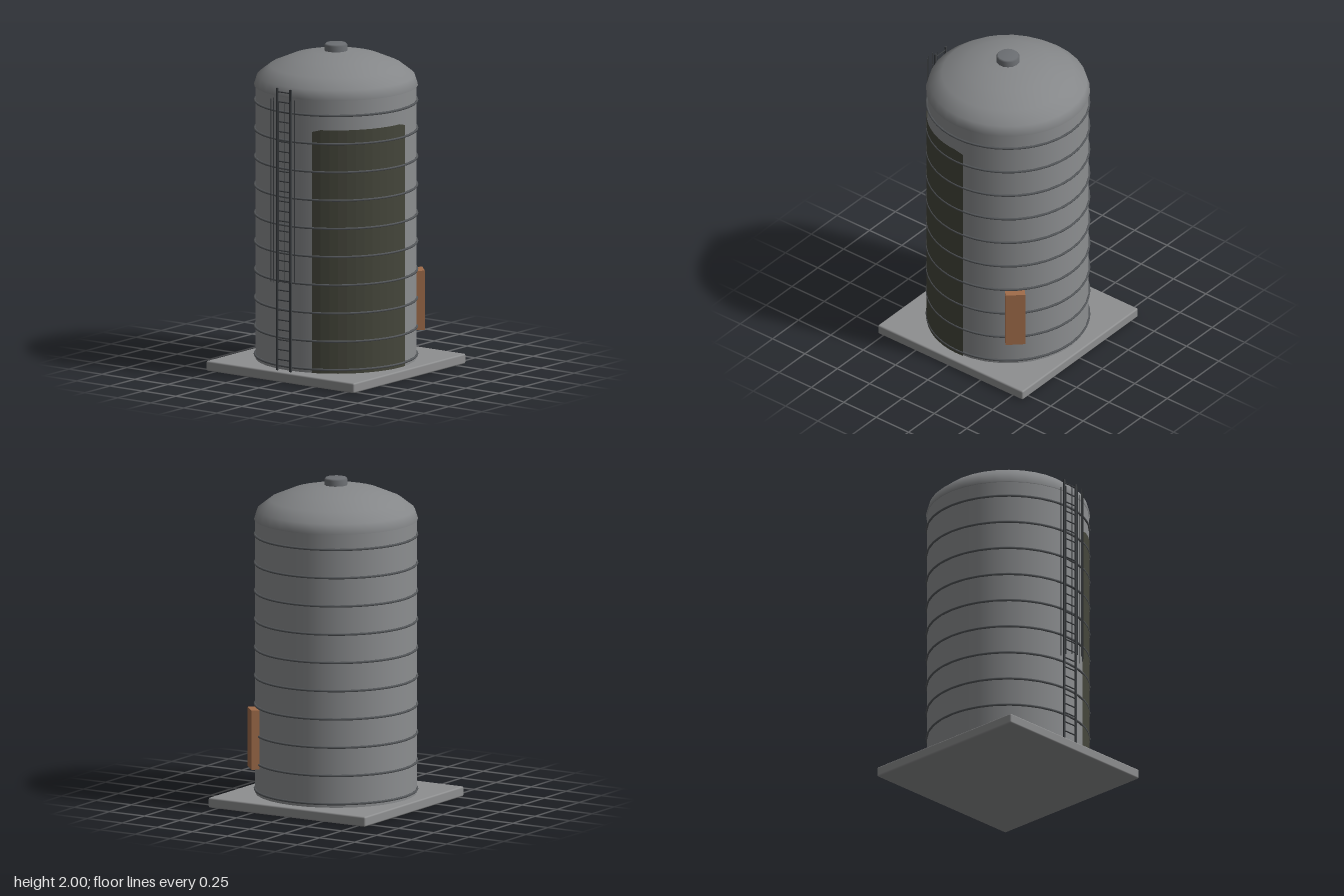
import * as THREE from 'three';
import { RoundedBoxGeometry } from 'three/addons/geometries/RoundedBoxGeometry.js';

const CZ = -0.02; // tank axis
const R = 0.488; // tank radius

function material(name, color, extra = {}) {
  const m = new THREE.MeshStandardMaterial({ color, ...extra });
  m.name = name;
  return m;
}

export function createModel() {
  const model = new THREE.Group();
  model.name = 'storageTank';

  const concrete = material('concreteGrey', 0x8e8f90);
  const steel = material('tankGrey', 0x8c8e90);
  const roofGrey = material('roofGrey', 0x858789);
  const ventGrey = material('ventGrey', 0x6c6f73);
  const bandGrey = material('bandGrey', 0x55585b);
  const ladderGrey = material('ladderGrey', 0x3c3f42);
  const panelOlive = material('panelOlive', 0x45463b, { flatShading: true, side: THREE.DoubleSide });
  const rust = material('boxBrown', 0xa06c4a);

  const add = (name, geometry, mat, x = 0, y = 0, z = 0, parent = model) => {
    const mesh = new THREE.Mesh(geometry, mat);
    mesh.name = name;
    mesh.position.set(x, y, z);
    parent.add(mesh);
    return mesh;
  };

  // Base slab
  add('baseSlab', new RoundedBoxGeometry(1.12, 0.062, 1.12, 2, 0.01), concrete, 0, 0.031, CZ);

  // Tank wall
  add('tankWall', new THREE.CylinderGeometry(R, R, 1.69, 32), steel, 0, 0.905, CZ);

  // Domed roof with a slight eave
  const roofProfile = [
    [0.48, 1.742], [0.496, 1.745], [0.477, 1.805], [0.4, 1.865], [0.27, 1.92], [0.14, 1.95], [0, 1.96],
  ].map(([r, y]) => new THREE.Vector2(r, y));
  add('roof', new THREE.LatheGeometry(roofProfile, 32), roofGrey, 0, 0, CZ);

  // Roof vent
  const ventProfile = [[0.07, 1.93], [0.07, 1.99], [0.062, 2], [0, 2]].map(([r, y]) => new THREE.Vector2(r, y));
  add('roofVent', new THREE.LatheGeometry(ventProfile, 14), ventGrey, 0, 0, CZ);

  // Reinforcing bands
  const bandGeometry = new THREE.TorusGeometry(0.49, 0.0075, 6, 48).rotateX(Math.PI / 2);
  for (let i = 0; i < 10; i++) add('band', bandGeometry, bandGrey, 0, 0.085 + i * 0.174, CZ);

  // Dark curved panel, with its top corners clipped
  const rad = THREE.MathUtils.degToRad;
  const panelGeometry = new THREE.CylinderGeometry(0.4925, 0.4925, 1.5, 12, 1, true, rad(20), rad(75));
  const pos = panelGeometry.attributes.position;
  for (const corner of [0, 12]) pos.setY(corner, pos.getY(corner) - 0.014);
  add('wallPanel', panelGeometry, panelOlive, 0, 0.812, CZ);

  // Equipment box on the rear left wall
  const boxAngle = rad(133.5);
  const box = add('equipmentBox', new THREE.BoxGeometry(0.12, 0.365, 0.055), rust,
    Math.sin(boxAngle) * 0.505, 0.413, CZ + Math.cos(boxAngle) * 0.505);
  box.rotation.y = boxAngle;

  // Ladder
  const ladder = new THREE.Group();
  ladder.name = 'ladder';
  model.add(ladder);
  const railGeometry = new THREE.BoxGeometry(0.013, 1.74, 0.01);
  for (const side of [-1, 1]) add('ladderRail', railGeometry, ladderGrey, side * 0.05, 0.932, 0.5, ladder);
  const rungGeometry = new THREE.CylinderGeometry(0.004, 0.004, 0.1, 6).rotateZ(Math.PI / 2);
  for (let i = 0; i < 28; i++) add('ladderRung', rungGeometry, ladderGrey, 0, 0.13 + i * 0.0611, 0.5, ladder);

  // Safety cage bars in a half circle
  const barGeometry = new THREE.CylinderGeometry(0.0025, 0.0025, 1.12, 6);
  for (let i = 0; i < 8; i++) {
    const a = (i / 7) * Math.PI;
    add('cageBar', barGeometry, ladderGrey, Math.cos(a) * 0.08, 1.18, 0.5 + Math.sin(a) * 0.08, ladder);
  }

  return model;
}
